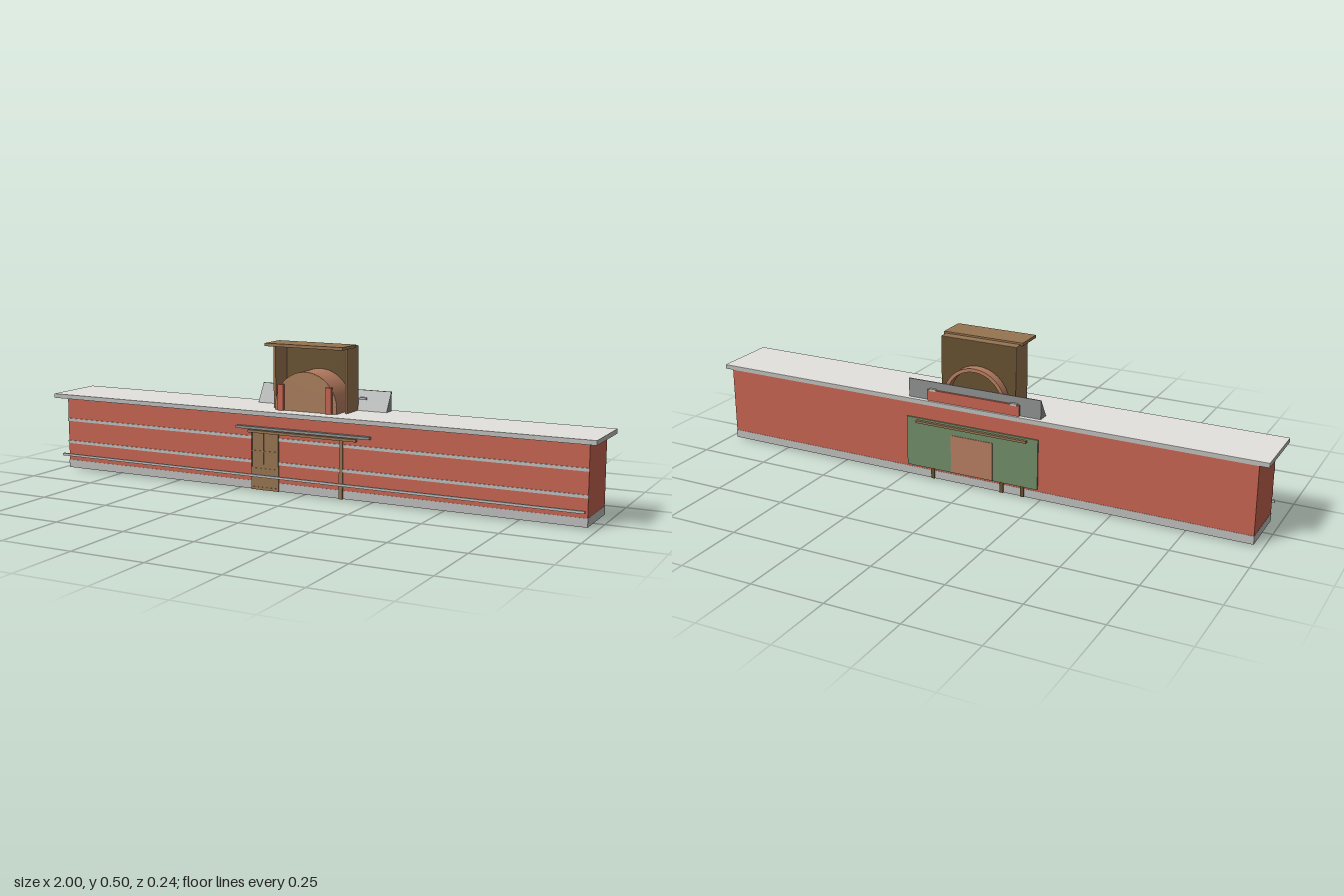
import * as THREE from 'three';

const mat = (name, color) => {
  const m = new THREE.MeshStandardMaterial({ color });
  m.name = name;
  return m;
};

export function createModel() {
  const red = mat('brick red', 0xc4634f);
  const stone = mat('pale stone', 0xe4e2dd);
  const gray = mat('trim gray', 0xbcbcbb);
  const slate = mat('slate gray', 0x8c908e);
  const brown = mat('wood brown', 0x957350);
  const dark = mat('dark wood', 0x66502f);
  const clay = mat('clay orange', 0xb67d60);
  const tan = mat('tan', 0xa87c5a);
  const green = mat('panel green', 0x6f8b67);

  const model = new THREE.Group();
  const add = (name, geometry, material) => {
    const mesh = new THREE.Mesh(geometry, material);
    mesh.name = name;
    model.add(mesh);
    return mesh;
  };
  // Box given by its limits on each axis
  const box = (name, material, x0, x1, y0, y1, z0, z1) => {
    const g = new THREE.BoxGeometry(x1 - x0, y1 - y0, z1 - z0);
    g.translate((x0 + x1) / 2, (y0 + y1) / 2, (z0 + z1) / 2);
    return add(name, g, material);
  };
  // Four walls without floor or ceiling; inset from the outer faces
  const wallRing = (name, material, y0, y1, inset, thick) => {
    const x = 0.97 - inset, zb = -0.107 + inset, zf = 0.082 - inset;
    box(name + 'Front', material, -x, x, y0, y1, zf - thick, zf);
    box(name + 'Back', material, -x, x, y0, y1, zb, zb + thick);
    box(name + 'Left', material, x - thick, x, y0, y1, zb, zf);
    box(name + 'Right', material, -x, -x + thick, y0, y1, zb, zf);
  };

  // Long hall: base band, walls, roof slab with a pale top
  wallRing('baseBand', gray, 0.005, 0.033, 0, 0.001);
  wallRing('wall', red, 0.005, 0.266, 0.001, 0.002);
  box('roofSlab', gray, -1, 1, 0.265, 0.279, -0.107, 0.12);
  box('roofTop', stone, -1, 1, 0.279, 0.28, -0.107, 0.12);

  // Front stripes and the low rail
  for (const y of [0.182, 0.1]) box('frontStripe', gray, -0.97, 0.97, y - 0.005, y + 0.005, 0.08, 0.084);
  box('frontRail', gray, -0.97, 0.97, 0.055, 0.063, 0.11, 0.119);

  // Front entrance: canopy, lintel, door leaf and post
  box('canopy', slate, -0.25, 0.25, 0.212, 0.221, 0.08, 0.095);
  box('frontLintel', brown, -0.205, 0.2, 0.2, 0.209, 0.08, 0.093);
  box('doorLeaf', brown, -0.195, -0.09, 0.004, 0.2, 0.08, 0.085);
  for (const x of [-0.195, -0.15, -0.094]) box('doorStile', brown, x, x + 0.004, 0.004, 0.2, 0.084, 0.087);
  for (const y of [0.01, 0.075, 0.135]) box('doorRail', brown, -0.195, -0.09, y, y + 0.004, 0.084, 0.087);
  box('doorPost', brown, 0.137, 0.15, 0.004, 0.2, 0.08, 0.087);
  box('innerPanel', green, -0.24, 0.24, 0.035, 0.21, 0.074, 0.078);

  // Rear entrance: panels, lintel and feet
  box('rearPanel', green, -0.244, 0.244, 0.04, 0.215, -0.111, -0.106);
  box('rearDoor', clay, -0.08, 0.075, 0.042, 0.175, -0.113, -0.11);
  box('rearLintel', brown, -0.205, 0.205, 0.2, 0.208, -0.121, -0.106);
  for (const x of [-0.195, -0.12, 0.14]) box('rearFoot', dark, x, x + 0.012, 0.005, 0.042, -0.112, -0.106);

  // Slatted floor behind the entrance
  for (const z of [-0.055, 0.024]) box('floorBeam', dark, -0.2, 0.15, 0, 0.006, z, z + 0.006);
  for (let i = 0; i < 23; i++) {
    const x = -0.2 + i * 0.0155;
    box('floorSlat', dark, x, x + 0.009, 0.001, 0.008, -0.055, 0.03);
  }

  // Tower, open at the front
  for (const s of [-1, 1]) {
    const x = s * 0.134;
    box('towerSide', brown, x - 0.004, x + 0.004, 0.28, 0.498, -0.055, 0.03);
  }
  box('towerBack', dark, -0.137, 0.137, 0.28, 0.497, -0.0555, -0.048);
  box('towerTop', brown, -0.138, 0.138, 0.49, 0.498, -0.055, 0.03);
  box('towerRoof', brown, -0.145, 0.145, 0.494, 0.504, -0.022, 0.078);

  // Barrel vault: a shell running through the tower, closed at the front
  const arch = (P, r) => {
    const p = new P();
    p.moveTo(r, 0.28);
    p.lineTo(r, 0.298);
    p.absarc(0, 0.298, r, 0, Math.PI, false);
    p.lineTo(-r, 0.28);
    p.closePath();
    return p;
  };
  const shell = arch(THREE.Shape, 0.115);
  shell.holes.push(arch(THREE.Path, 0.103));
  const vault = new THREE.ExtrudeGeometry(shell, { depth: 0.147, bevelEnabled: false, curveSegments: 24 });
  add('vault', vault.translate(0, 0, -0.087), clay);
  const cap = new THREE.ExtrudeGeometry(arch(THREE.Shape, 0.114), { depth: 0.006, bevelEnabled: false, curveSegments: 24 });
  add('vaultFront', cap.translate(0, 0, 0.0545), tan);
  for (const x of [-0.09, 0.09]) box('pilaster', red, x - 0.01, x + 0.01, 0.28, 0.368, 0.06, 0.071);

  // Wedge parapet on either side of the tower and a thin slab behind it
  const wedge = new THREE.Shape();
  wedge.moveTo(0.05, 0.28);
  wedge.lineTo(0.088, 0.28);
  wedge.lineTo(0.088, 0.345);
  wedge.closePath();
  for (const x of [-0.244, 0.115]) {
    const g = new THREE.ExtrudeGeometry(wedge, { depth: 0.129, bevelEnabled: false });
    add('parapetWedge', g.rotateY(Math.PI / 2).translate(x, 0, 0), slate);
  }
  box('parapetBack', slate, -0.244, 0.244, 0.28, 0.345, -0.091, -0.087);
  box('rearStrip', red, -0.17, 0.17, 0.28, 0.318, -0.099, -0.09);
  for (const x of [-0.15, 0.15]) box('bracket', gray, x - 0.012, x + 0.012, 0.314, 0.322, -0.1, -0.064);

  return model;
}
